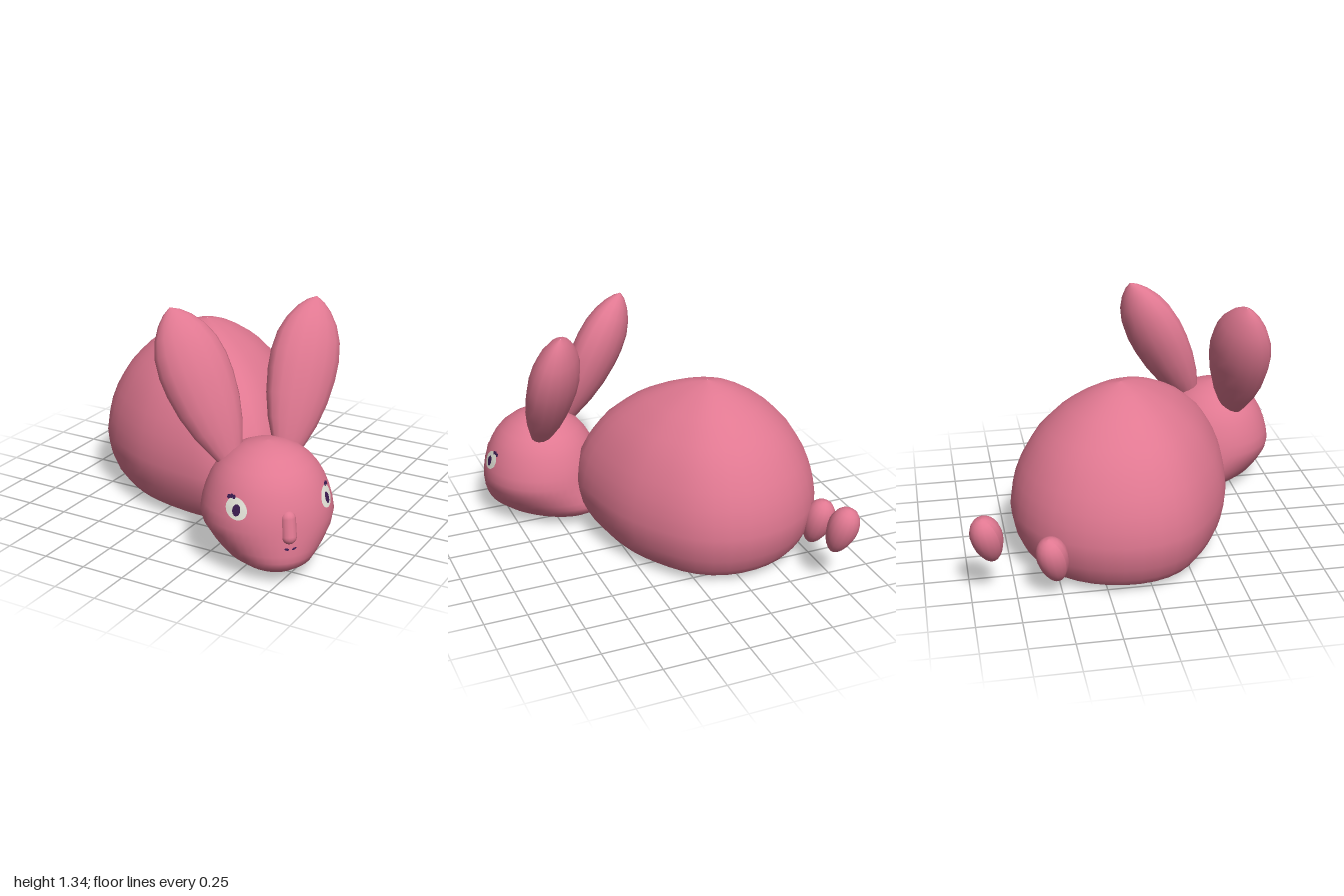
import * as THREE from 'three';

const skin = new THREE.MeshStandardMaterial({ color: 0xe07891 });
skin.name = 'pink';
const white = new THREE.MeshStandardMaterial({ color: 0xeeeee2 });
white.name = 'eye white';
const dark = new THREE.MeshStandardMaterial({ color: 0x3c1c52 });
dark.name = 'dark purple';

// Closed surface from stacked rings; point(angle, row) runs from bottom to top.
function loft(rows, sides, point) {
  const pos = [], index = [];
  for (let j = 0; j < rows; j++) {
    for (let i = 0; i < sides; i++) pos.push(...point((i / sides) * Math.PI * 2, j));
  }
  for (let j = 0; j < rows - 1; j++) {
    for (let i = 0; i < sides; i++) {
      const k = (i + 1) % sides;
      const a = j * sides + i, b = j * sides + k, c = b + sides, d = a + sides;
      index.push(a, b, c, a, c, d);
    }
  }
  const g = new THREE.BufferGeometry();
  g.setAttribute('position', new THREE.Float32BufferAttribute(pos, 3));
  g.setIndex(index);
  g.computeVertexNormals();
  return g;
}

function part(parent, name, geometry, material) {
  const m = new THREE.Mesh(geometry, material);
  m.name = name;
  parent.add(m);
  return m;
}

// Body: an egg-shaped plan, shrinking towards the top of the back.
function bodyGeometry() {
  const half = [[0.13, 0.56], [0.23, 0.48], [0.33, 0.36], [0.445, 0.19], [0.53, 0.01], [0.597, -0.33],
    [0.568, -0.516], [0.48, -0.668], [0.345, -0.79], [0.18, -0.87]];
  const mirrored = half.map(([x, z]) => [-x, z]).reverse();
  const plan = new THREE.CatmullRomCurve3(
    [[0, 0.585], ...half, [0, -0.9], ...mirrored].map(([x, z]) => new THREE.Vector3(x, 0, z)), true);
  const rows = [[0, 0.001], [0.003, 0.45], [0.01, 0.72], [0.05, 0.85], [0.1, 0.91], [0.18, 0.965],
    [0.26, 0.99], [0.33, 1], [0.42, 0.98], [0.5, 0.95], [0.59, 0.895], [0.67, 0.825], [0.74, 0.755],
    [0.8, 0.67], [0.86, 0.575], [0.91, 0.475], [0.96, 0.35], [1.0, 0.23], [1.025, 0.12], [1.04, 0.001]];
  const apex = -0.247;
  return loft(rows.length, 40, (angle, j) => {
    const p = plan.getPointAt(angle / (Math.PI * 2));
    const [y, f] = rows[j];
    return [p.x * f, y, apex + (p.z - apex) * f];
  });
}

// Head: radius by height, with the lower part narrowed to a chin and neck.
const headRows = [[0.008, 0.001], [0.015, 0.1], [0.025, 0.18], [0.045, 0.27], [0.09, 0.335], [0.13, 0.35],
  [0.17, 0.358], [0.24, 0.362], [0.3, 0.36], [0.36, 0.351], [0.42, 0.334], [0.48, 0.31], [0.53, 0.282],
  [0.58, 0.242], [0.63, 0.18], [0.66, 0.115], [0.675, 0.05], [0.68, 0.001]];

function headRadius(y) {
  const j = Math.max(1, headRows.findIndex(r => r[0] >= y));
  const [y0, r0] = headRows[j - 1], [y1, r1] = headRows[j];
  return r0 + ((y - y0) / (y1 - y0)) * (r1 - r0);
}

function headPoint(angle, y, lift = 0) {
  const r = headRadius(y) + lift;
  const low = THREE.MathUtils.clamp((0.27 - y) / 0.2, 0, 1);
  const stretch = 1 + low * (Math.cos(angle) > 0 ? 0.08 : 0.25);
  return [Math.sin(angle) * r * (1 - 0.3 * low), y, Math.cos(angle) * r * stretch];
}

// Thin oval painted on the head, following its surface.
function patch(angle, y, rx, ry, tilt, lift) {
  const g = new THREE.RingGeometry(0.001, 1, 24, 4);
  const p = g.attributes.position;
  for (let i = 0; i < p.count; i++) {
    const u = p.getX(i) * rx, v = p.getY(i) * ry;
    const a = u * Math.cos(tilt) - v * Math.sin(tilt);
    const b = u * Math.sin(tilt) + v * Math.cos(tilt);
    p.setXYZ(i, ...headPoint(angle + a / headRadius(y), y + b, lift));
  }
  g.computeVertexNormals();
  return g;
}

// Ear: flattened leaf shape growing along +y.
function earGeometry(length) {
  const rows = [[0, 0.34], [0.08, 0.5], [0.2, 0.72], [0.35, 0.9], [0.5, 0.99], [0.62, 1],
    [0.74, 0.92], [0.84, 0.74], [0.92, 0.49], [0.97, 0.25], [1, 0.01]];
  return loft(rows.length, 16, (angle, j) => {
    const [t, f] = rows[j];
    const depth = Math.cos(angle) > 0 ? 0.125 : 0.15;
    return [Math.sin(angle) * 0.195 * f, t * length, Math.cos(angle) * depth * f];
  });
}

// Tail tuft: small egg, fuller at the top.
function tuftGeometry() {
  const g = new THREE.SphereGeometry(1, 16, 12);
  const p = g.attributes.position;
  for (let i = 0; i < p.count; i++) {
    const y = p.getY(i), f = 0.087 * (1 + 0.2 * y);
    p.setXYZ(i, p.getX(i) * f, y * 0.15, p.getZ(i) * f);
  }
  g.computeVertexNormals();
  return g;
}

export function createModel() {
  const model = new THREE.Group();
  model.name = 'rabbit';

  // The animal faces diagonally between +x and +z.
  const rabbit = new THREE.Group();
  rabbit.name = 'turnedRabbit';
  rabbit.rotation.y = Math.PI / 4;
  rabbit.position.set(-0.07, 0, 0.07);
  model.add(rabbit);

  part(rabbit, 'body', bodyGeometry(), skin).position.x = -0.022;

  const head = new THREE.Group();
  head.name = 'head';
  head.position.set(0.028, 0, 0.834);
  rabbit.add(head);
  part(head, 'skull', loft(headRows.length, 48, (a, j) => headPoint(a, headRows[j][0])), skin);

  const nose = part(head, 'nose', new THREE.CapsuleGeometry(0.042, 0.095, 6, 14), skin);
  nose.position.set(0.014, 0.325, 0.338);
  nose.rotation.x = -0.22;

  const base = new THREE.Vector3(), tip = new THREE.Vector3();
  for (const side of [-1, 1]) {
    const label = side > 0 ? 'left' : 'right';

    // Eyes, lashes and mouth
    const angle = side > 0 ? 0.9 : -0.79;
    part(head, label + 'EyeWhite', patch(angle, 0.415, 0.066, 0.053, side * 0.4, 0.003), white);
    part(head, label + 'Pupil', patch(angle - side * 0.015, 0.41, 0.023, 0.03, 0, 0.006), dark);
    for (const [da, y] of [[0.07, 0.47], [0.12, 0.472], [0.17, 0.466]]) {
      part(head, label + 'Lash', patch(angle + side * da, y, 0.01, 0.011, 0, 0.005), dark);
    }
    part(head, label + 'Mouth', patch(0.05 + side * 0.06, 0.215, 0.014, 0.006, side * 0.25, 0.004), dark);

    // Ears
    base.set(side * 0.155, 0.56, 0.765);
    tip.set(side * 0.41, 1.34, 0.475);
    const ear = part(rabbit, label + 'Ear', earGeometry(base.distanceTo(tip)), skin);
    ear.position.copy(base);
    ear.quaternion.setFromUnitVectors(new THREE.Vector3(0, 1, 0), tip.sub(base).normalize());
  }

  // Two tail tufts, one standing off the body
  for (const [x, y, z] of [[0.22, 0.37, -1.15], [-0.057, 0.235, -0.936]]) {
    const tuft = part(rabbit, 'tailTuft', tuftGeometry(), skin);
    tuft.position.set(x, y, z);
    tuft.rotation.x = -0.3;
  }
  return model;
}
